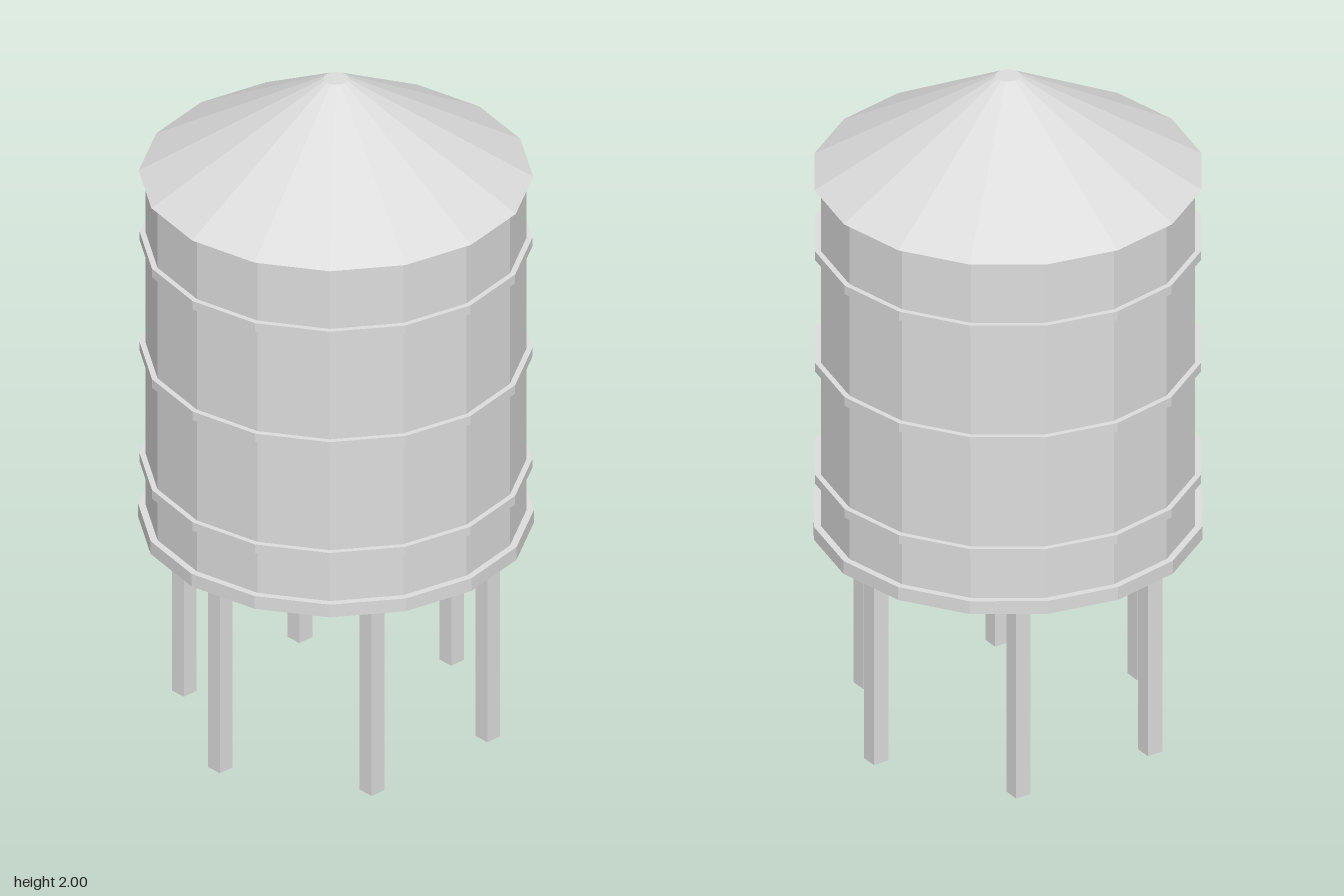
import * as THREE from 'three';

const SIDES = 16;

export function createModel() {
  const model = new THREE.Group();
  model.name = 'waterTower';
  const paleGrey = new THREE.MeshStandardMaterial({ color: 0xdcdcdc });
  paleGrey.name = 'paleGrey';
  paleGrey.flatShading = true;

  function add(name, geometry, x, y, z) {
    const mesh = new THREE.Mesh(geometry, paleGrey);
    mesh.name = name;
    mesh.position.set(x, y, z);
    model.add(mesh);
  }

  // Sixteen-sided drum or cone between two heights
  function drum(name, topRadius, bottomRadius, bottom, top) {
    const geometry = new THREE.CylinderGeometry(topRadius, bottomRadius, top - bottom, SIDES);
    add(name, geometry, 0, (top + bottom) / 2, 0);
  }

  // Tank, base plate and roof with a small flat tip
  drum('basePlate', 0.542, 0.542, 0.611, 0.651);
  drum('tank', 0.522, 0.522, 0.651, 1.7);
  drum('roof', 0.035, 0.54, 1.7, 2);

  // Hoops around the tank
  [0.798, 1.147, 1.495].forEach((y, i) => {
    drum('hoop' + (i + 1), 0.538, 0.538, y - 0.0135, y + 0.0135);
  });

  // Six square legs on a circle, all aligned with the axes
  const legGeometry = new THREE.BoxGeometry(0.048, 0.611, 0.048);
  for (let i = 0; i < 6; i++) {
    const angle = (i * Math.PI) / 3;
    add('leg' + (i + 1), legGeometry, 0.434 * Math.cos(angle), 0.3055, 0.434 * Math.sin(angle));
  }

  return model;
}
